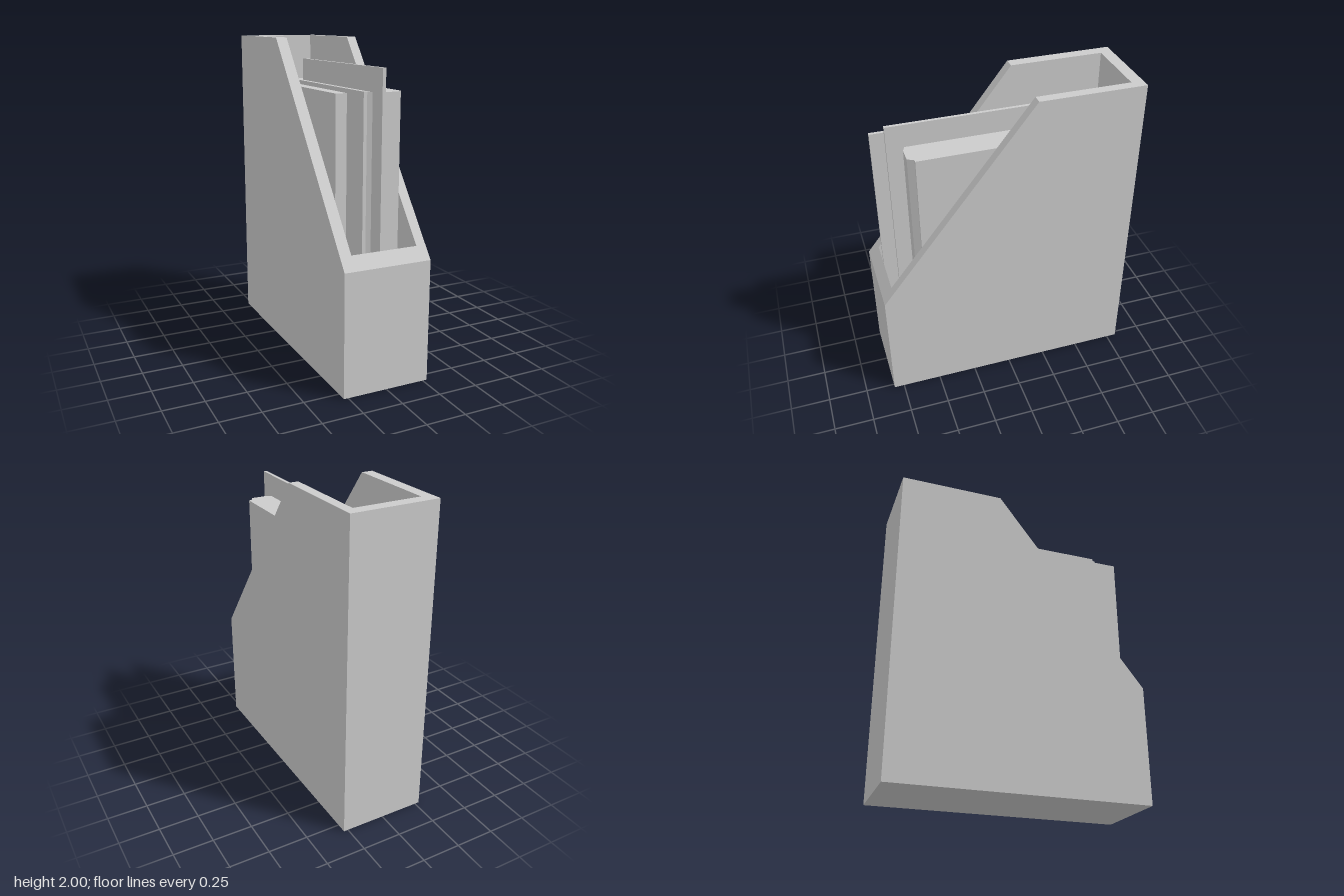
import * as THREE from 'three';

const FLOOR = 0.07, FRONT = 0.815, BREAK_Z = -0.155, LIP = 0.755, TOP = 2;
const material = new THREE.MeshStandardMaterial({ color: 0xcccccc, flatShading: true });

// Height of the rim: flat at the back, sloping down to the front lip
const rimHeight = z => z <= BREAK_Z ? TOP
  : TOP - (TOP - LIP) * (z - BREAK_Z) / (FRONT - BREAK_Z);

// Horizontal loop, counter-clockwise from above, with points at the slope break
function loop(x0, x1, back, front, height) {
  return [[x1, front], [x1, BREAK_Z], [x1, back], [x0, back], [x0, BREAK_Z], [x0, front]]
    .map(([x, z]) => [x, height(z), z]);
}

// Open box: outside, rim and inside walls stitched from four loops
function holderGeometry() {
  const outer = [-0.278, 0.278, -0.815, FRONT], inner = [-0.207, 0.217, -0.74, 0.755];
  const loops = [
    loop(...outer, () => 0), loop(...outer, rimHeight),
    loop(...inner, rimHeight), loop(...inner, () => FLOOR),
  ];
  const positions = [];
  const quad = (a, b, c, d) => positions.push(...a, ...b, ...c, ...a, ...c, ...d);
  for (let k = 0; k < 3; k++) {
    for (let i = 0; i < 6; i++) {
      const j = (i + 1) % 6;
      quad(loops[k][i], loops[k][j], loops[k + 1][j], loops[k + 1][i]);
    }
  }
  // Inside floor, then underside
  const f = loops[3], u = loops[0];
  quad(f[0], f[1], f[4], f[5]);
  quad(f[1], f[2], f[3], f[4]);
  quad(u[5], u[4], u[1], u[0]);
  quad(u[4], u[3], u[2], u[1]);
  const geometry = new THREE.BufferGeometry();
  geometry.setAttribute('position', new THREE.Float32BufferAttribute(positions, 3));
  geometry.computeVertexNormals();
  return geometry;
}

// Stack of pages with an uneven front edge, extruded upwards from the floor
function pagesGeometry() {
  const outline = [[-0.205, -0.55], [-0.205, 0.545], [-0.02, 0.545], [0.08, 0.585],
    [0.175, 0.585], [0.198, 0.545], [0.215, 0.545], [0.215, -0.55]];
  const shape = new THREE.Shape(outline.map(([x, z]) => new THREE.Vector2(x, -z)));
  return new THREE.ExtrudeGeometry(shape, { depth: 1.71 - FLOOR, bevelEnabled: false })
    .rotateX(-Math.PI / 2).translate(0, FLOOR, 0);
}

// Thin upright divider standing on the floor
function dividerGeometry(x, top, back, front) {
  return new THREE.BoxGeometry(0.021, top - FLOOR, front - back)
    .translate(x, (top + FLOOR) / 2, (back + front) / 2);
}

export function createModel() {
  const model = new THREE.Group();
  model.name = 'magazineHolder';
  const add = (name, geometry) => {
    const mesh = new THREE.Mesh(geometry, material);
    mesh.name = name;
    model.add(mesh);
  };
  add('holder', holderGeometry());
  add('pages', pagesGeometry());
  add('rightDivider', dividerGeometry(-0.124, 1.735, -0.355, 0.745));
  add('leftDivider', dividerGeometry(0.031, 1.853, -0.42, 0.675));
  return model;
}
